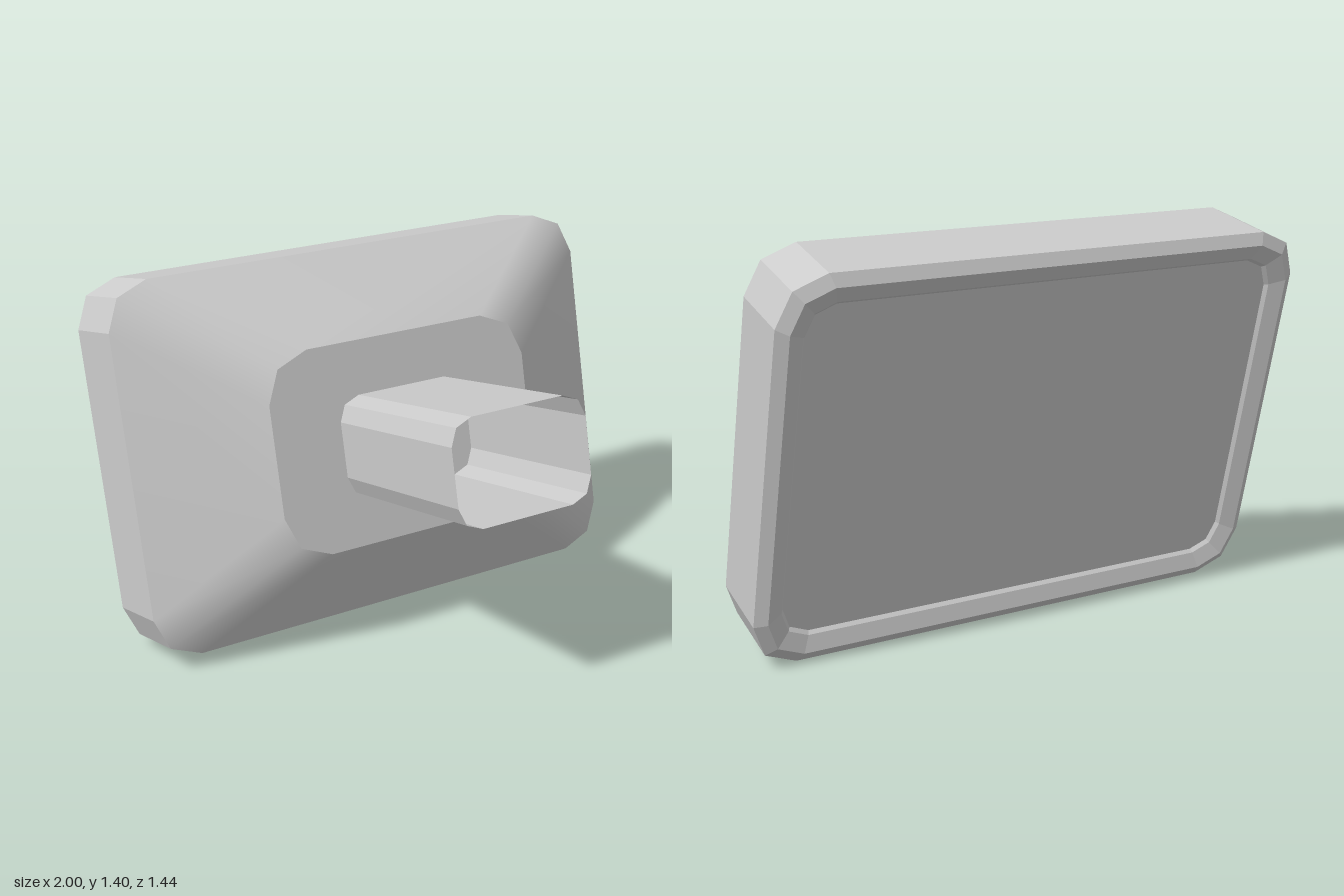
import * as THREE from 'three';

const grey = (opts = {}) => new THREE.MeshStandardMaterial({ color: 0xcccccc, ...opts });

// Rounded rectangle (two segments per corner), counter-clockwise seen from +z
function ring([hw, hh, r, z]) {
  const pts = [];
  [[1, 1], [-1, 1], [-1, -1], [1, -1]].forEach(([sx, sy], q) => {
    for (let k = 0; k < 3; k++) {
      const a = (q + k / 2) * Math.PI / 2;
      pts.push(new THREE.Vector3(sx * (hw - r) + r * Math.cos(a), sy * (hh - r) + r * Math.sin(a), z));
    }
  });
  return pts;
}

// Skin over sections ordered so that the surface faces outward; smooth or faceted
function loft(name, sections, smooth, opts = {}) {
  const rings = sections.map(ring);
  const n = rings[0].length;
  const index = [];
  for (let s = 0; s < rings.length - 1; s++) {
    for (let i = 0; i < n; i++) {
      const j = (i + 1) % n;
      const a = s * n + i, b = s * n + j;
      index.push(a, b, b + n, a, b + n, a + n);
    }
  }
  const geo = new THREE.BufferGeometry().setFromPoints(rings.flat());
  geo.setIndex(index);
  geo.computeVertexNormals();
  const mesh = new THREE.Mesh(geo, grey({ flatShading: !smooth, ...opts }));
  mesh.name = name;
  return mesh;
}

// Flat plate filling one section, facing front (+z) or back
function plate(name, section, facesBack) {
  const geo = new THREE.ShapeGeometry(new THREE.Shape(ring(section)));
  if (facesBack) geo.rotateY(Math.PI);
  geo.translate(0, 0, section[3]);
  const mesh = new THREE.Mesh(geo, grey());
  mesh.name = name;
  return mesh;
}

export function createModel() {
  const model = new THREE.Group();
  model.name = 'tiltedPanelOnStem';

  // Sections: half width, half height, corner radius, depth
  const screenEdge = [0.895, 0.581, 0.1, -0.385];
  const rimBack = [1.0, 0.686, 0.165, -0.395];
  const rimFront = [0.984, 0.686, 0.165, -0.129];
  const hub = [0.535, 0.375, 0.17, 0.12];

  // Panel head
  const head = new THREE.Group();
  head.name = 'head';
  head.position.y = 0.776;
  head.add(
    plate('screen', screenEdge, true),
    loft('bezel', [
      screenEdge,
      [0.905, 0.591, 0.105, -0.398],
      [0.96, 0.646, 0.14, -0.42],
      rimBack,
    ], false),
    loft('rim', [rimBack, rimFront], false),
    loft('taperedShell', [rimFront, hub], true),
    plate('mountingFace', hub, false),
  );

  // Open hollow stem
  const stem = loft('stem', [
    [0.266, 0.187, 0.085, 0.12],
    [0.266, 0.187, 0.085, 0.868],
  ], false, { side: THREE.DoubleSide });
  stem.position.y = 0.767;

  // Whole assembly leans back
  const tilt = new THREE.Group();
  tilt.name = 'tiltedAssembly';
  tilt.rotation.x = -THREE.MathUtils.degToRad(12.6);
  tilt.add(head, stem);
  model.add(tilt);
  return model;
}
